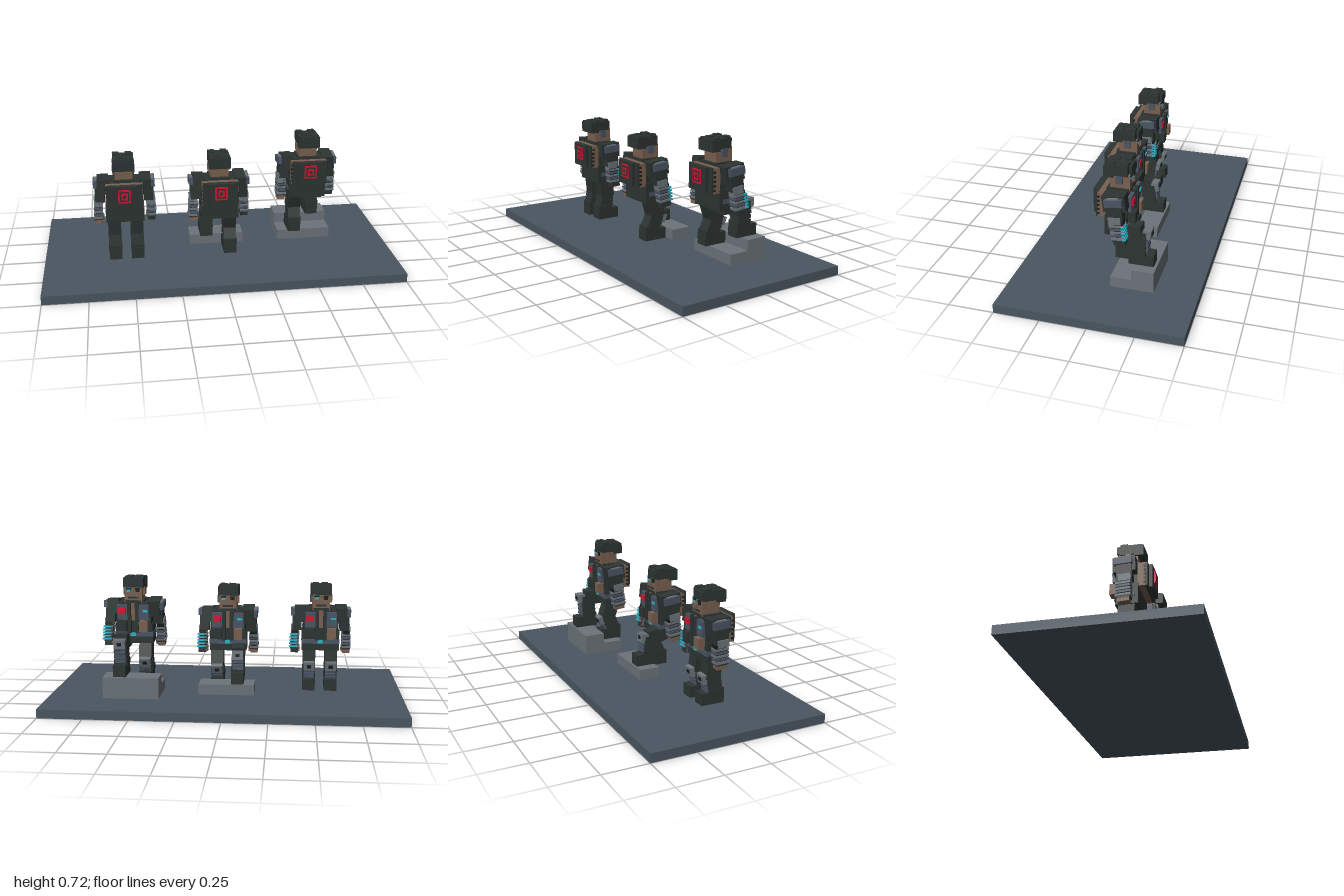
import * as THREE from 'three';

const mat = (name, color) => Object.assign(new THREE.MeshStandardMaterial({ color }), { name });
const M = {
  dark: mat('dark cloth', 0x2c3432),
  black: mat('black', 0x191d1e),
  slate: mat('slate armour', 0x4a5464),
  base: mat('base slate', 0x4a5661),
  grey: mat('grey', 0x6b7379),
  skin: mat('brown', 0x795f50),
  red: mat('red', 0xd0152e),
  cyan: mat('cyan', 0x22b4c8),
};

// Box given by its minimum and maximum on each axis
function box(parent, name, m, x0, x1, y0, y1, z0, z1) {
  const mesh = new THREE.Mesh(new THREE.BoxGeometry(x1 - x0, y1 - y0, z1 - z0), M[m]);
  mesh.position.set((x0 + x1) / 2, (y0 + y1) / 2, (z0 + z1) / 2);
  mesh.name = name;
  parent.add(mesh);
  return mesh;
}

// Group whose y axis runs from point a to point b, both given as [y, z]
function limb(parent, name, x, a, b) {
  const g = new THREE.Group();
  g.name = name;
  g.position.set(x, a[0], a[1]);
  g.rotation.x = Math.atan2(b[1] - a[1], b[0] - a[0]);
  parent.add(g);
  return [g, Math.hypot(b[0] - a[0], b[1] - a[1])];
}

function head(f) {
  const g = new THREE.Group();
  g.name = 'head';
  f.add(g);
  box(g, 'face', 'skin', -0.05, 0.05, 0.52, 0.61, 0, 0.105);
  box(g, 'hair', 'dark', -0.058, 0.058, 0.605, 0.66, 0.01, 0.13);
  box(g, 'hairBack', 'dark', -0.06, 0.06, 0.593, 0.655, 0.085, 0.137);
  box(g, 'fringe', 'dark', -0.058, 0.03, 0.61, 0.655, -0.006, 0.02);
  // Uneven tufts on the crown
  [[-0.04, 0.03, 0.668], [0, 0.05, 0.664], [0.03, 0.03, 0.669], [-0.02, 0.09, 0.667], [0.03, 0.1, 0.665]]
    .forEach(([x, z, y]) => box(g, 'tuft', 'dark', x - 0.018, x + 0.018, 0.65, y, z - 0.018, z + 0.022));
  box(g, 'nose', 'skin', -0.009, 0.009, 0.558, 0.583, -0.012, 0);
  box(g, 'moustache', 'dark', -0.03, 0.03, 0.545, 0.555, -0.006, 0);
  box(g, 'beard', 'dark', -0.045, 0.045, 0.518, 0.535, -0.005, 0.03);
  for (const s of [-1, 1]) {
    box(g, 'brow', 'black', s * 0.026 - 0.014, s * 0.026 + 0.014, 0.598, 0.606, -0.005, 0);
    box(g, 'eye', s > 0 ? 'cyan' : 'black', s * 0.026 - 0.011, s * 0.026 + 0.011, 0.584, 0.596, -0.006, 0);
    box(g, 'ear', s > 0 ? 'slate' : 'skin', s * 0.055 - 0.008, s * 0.055 + 0.008, 0.562, 0.604, 0.037, 0.072);
  }
}

function torso(f) {
  const g = new THREE.Group();
  g.name = 'torso';
  f.add(g);
  box(g, 'chest', 'dark', -0.1, 0.1, 0.39, 0.525, 0, 0.12);
  box(g, 'coat', 'dark', -0.107, 0.107, 0.285, 0.4, 0.005, 0.12);
  box(g, 'belt', 'slate', -0.109, 0.109, 0.325, 0.35, -0.003, 0.1);
  box(g, 'buckle', 'cyan', -0.012, 0.018, 0.328, 0.348, -0.01, 0);
  box(g, 'collar', 'dark', -0.06, 0.06, 0.51, 0.535, 0.005, 0.12);
  // Chest plates, badges and pouches
  for (const s of [-1, 1]) {
    box(g, 'chestPlate', 'slate', s * 0.052 - 0.038, s * 0.052 + 0.038, 0.425, 0.512, -0.02, 0);
    box(g, 'pouch', s > 0 ? 'dark' : 'skin', s * 0.06 - 0.025, s * 0.06 + 0.025, 0.36, 0.42, -0.038, 0);
    box(g, 'strap', 'dark', s * 0.022 - 0.01, s * 0.022 + 0.01, 0.35, 0.52, -0.025, 0);
  }
  box(g, 'redBadge', 'red', 0.04, 0.085, 0.46, 0.492, -0.028, -0.02);
  box(g, 'cyanBadge', 'cyan', -0.085, -0.055, 0.47, 0.482, -0.026, -0.02);
  box(g, 'shirt', 'skin', -0.012, 0.012, 0.42, 0.52, -0.01, 0);
  // Backpack with a chamfered rear panel
  box(g, 'packSides', 'skin', -0.102, 0.102, 0.385, 0.52, 0.115, 0.158);
  box(g, 'packBody', 'dark', -0.1, 0.1, 0.383, 0.522, 0.154, 0.168);
  box(g, 'packPanel', 'dark', -0.07, 0.07, 0.39, 0.522, 0.165, 0.188);
  for (const s of [-1, 1]) for (let i = 0; i < 5; i++)
    box(g, 'packStud', 'black', s * 0.1 - 0.005, s * 0.1 + 0.005, 0.397 + i * 0.024, 0.409 + i * 0.024, 0.146, 0.158);
  // Concentric square badge
  [['red', 0.035], ['dark', 0.026], ['red', 0.018], ['dark', 0.008]].forEach(([m, r], i) =>
    box(g, 'packBadge', m, -r, r, 0.467 - r * 1.1, 0.467 + r * 1.1, 0.186, 0.192 + i * 0.0015));
}

function arm(f, s, swing) {
  const g = new THREE.Group();
  g.name = s > 0 ? 'leftArm' : 'rightArm';
  g.position.set(s * 0.135, 0.48, 0.055);
  g.rotation.x = swing;
  f.add(g);
  const part = (name, m, x0, x1, ...r) => box(g, name, m, Math.min(s * x0, s * x1), Math.max(s * x0, s * x1), ...r);
  part('shoulder', 'dark', -0.05, 0.015, -0.03, 0.056, -0.06, 0.06);
  part('shoulderPad', 'slate', 0, 0.036, 0.005, 0.045, -0.05, 0.045);
  part('padRidge', 'grey', 0.006, 0.03, 0.04, 0.05, -0.03, 0.03);
  part('upperArm', 'dark', -0.025, 0.028, -0.08, 0.02, -0.04, 0.04);
  part('elbow', 'grey', -0.01, 0.036, -0.095, -0.055, -0.03, 0.035);
  part('forearm', 'black', -0.008, 0.032, -0.175, -0.08, -0.04, 0.025);
  // Banded forearm, lit on the left
  for (let i = 0; i < 5; i++) {
    const y = -0.105 - i * 0.0175, o = i * 0.0012;
    part('forearmBand', i % 2 ? 'slate' : 'grey', -0.014 + o, 0.036 + o, y - 0.006, y + 0.006, -0.045, 0.032);
    if (s > 0) part('lightBand', 'cyan', 0, 0.041 + o, y - 0.005, y + 0.004, -0.05, -0.028);
  }
  part('cuff', 'dark', -0.012, 0.038, -0.19, -0.172, -0.04, 0.028);
  part('hand', s > 0 ? 'dark' : 'skin', -0.006, 0.036, -0.212, -0.184, -0.038, 0.022);
  part('thumb', 'skin', -0.016, 0.004, -0.205, -0.17, -0.034, 0.005);
}

// A leg through hip, knee and ankle, with the boot sole at height sole
function leg(f, s, knee, ankle, sole) {
  const x = s * 0.063;
  const [t, tl] = limb(f, 'thigh', x, [0.305, 0.06], knee);
  box(t, 'thighCloth', 'dark', -0.036, 0.036, -0.02, tl + 0.01, -0.043, 0.043);
  const [c, cl] = limb(f, 'shin', x, ankle, knee);
  box(c, 'shinCloth', 'dark', -0.034, 0.034, -0.015, cl + 0.01, -0.038, 0.04);
  for (let i = 0; i < 4; i++) {
    const y = cl * (0.08 + i * 0.21);
    box(c, 'shinBand', 'dark', -0.037, 0.037, y, y + cl * 0.15, -0.04, 0.043);
    box(c, 'shinPlate', 'slate', -0.03, 0.03, y, y + cl * 0.15, -0.05, -0.038);
  }
  box(c, 'kneePad', 'grey', -0.032, 0.032, cl - 0.025, cl + 0.025, -0.062, -0.02);
  box(c, 'kneeStud', 'black', -0.012, 0.012, cl - 0.008, cl + 0.01, -0.067, -0.06);
  const z = ankle[1];
  box(f, 'boot', 'dark', x - 0.036, x + 0.036, sole, sole + 0.065, z - 0.085, z + 0.05);
  box(f, 'bootCuff', 'dark', x - 0.038, x + 0.038, sole + 0.055, sole + 0.085, z - 0.04, z + 0.048);
}

function figure(name, x, y, z, swing, right, left) {
  const f = new THREE.Group();
  f.name = name;
  f.position.set(x, y, z);
  head(f);
  torso(f);
  arm(f, -1, -swing);
  arm(f, 1, swing);
  leg(f, -1, ...right);
  leg(f, 1, ...left);
  return f;
}

export function createModel() {
  const model = new THREE.Group();
  model.name = 'climbingFigures';
  box(model, 'base', 'base', -1, 1, 0, 0.05, -0.5, 0.5);
  // Steps
  box(model, 'singleStep', 'grey', -0.16, 0.157, 0.05, 0.11, -0.15, -0.03);
  box(model, 'lowerStep', 'grey', 0.37, 0.687, 0.05, 0.11, -0.145, -0.03);
  box(model, 'upperStep', 'grey', 0.37, 0.687, 0.05, 0.17, -0.265, -0.145);
  // Standing, one foot up, then climbing
  const stand = [[0.2, 0.05], [0.115, 0.065], 0.05];
  model.add(figure('standingFigure', -0.535, 0, 0, 0.05, stand, stand));
  model.add(figure('steppingFigure', 0, -0.01, 0, 0.12,
    [[0.275, -0.045], [0.185, -0.055], 0.12], [[0.2, 0.03], [0.125, 0.065], 0.06]));
  model.add(figure('climbingFigure', 0.53, 0.05, -0.11, 0.12,
    [[0.2, 0.025], [0.125, 0.055], 0.06], [[0.305, -0.06], [0.185, -0.055], 0.12]));
  return model;
}
